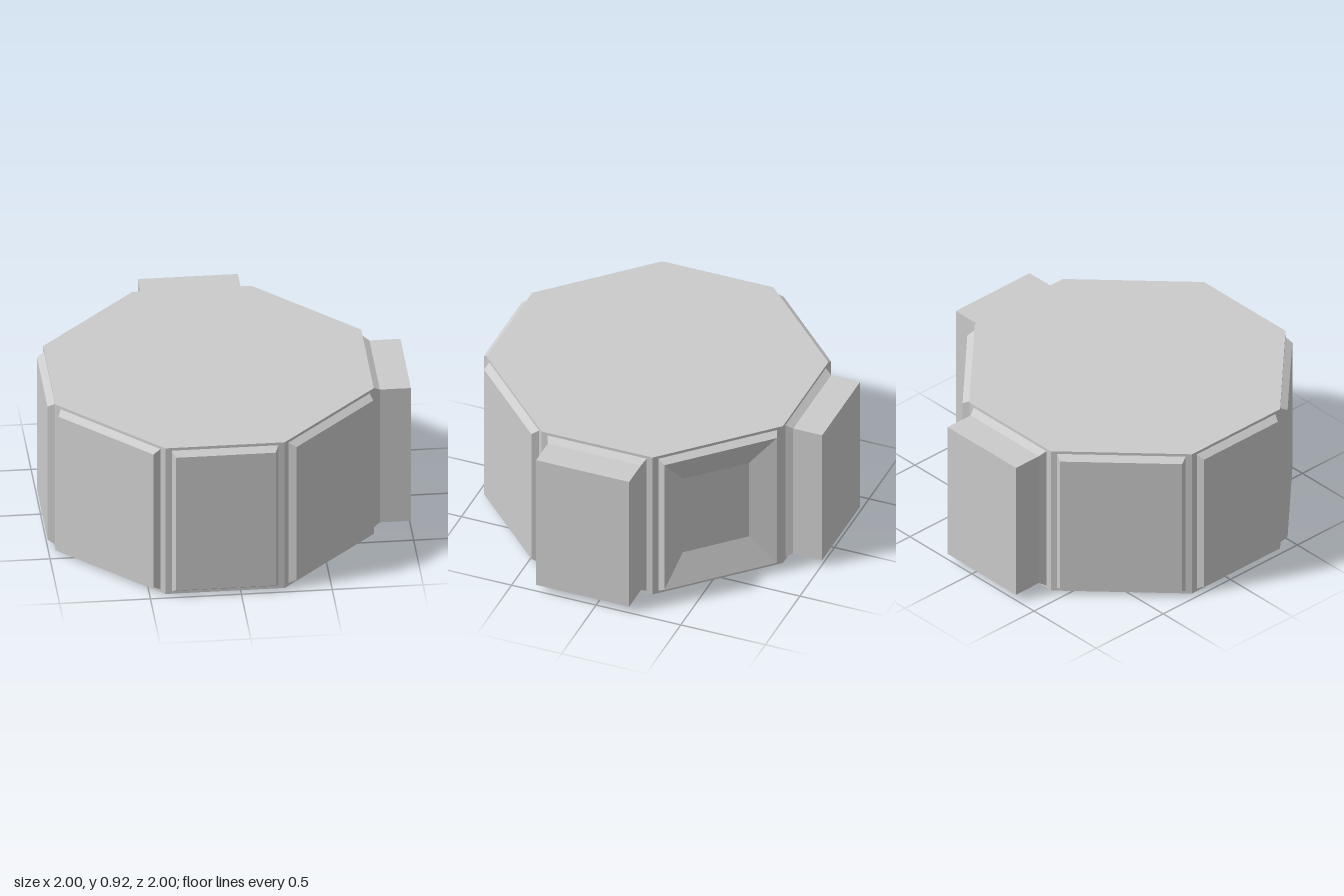
import * as THREE from 'three';

const HEIGHT = 0.915, MID = HEIGHT / 2;
const APOTHEM = 0.875;   // centre to the four straight walls
const HALF = 0.328;      // half width of a straight wall
const DIAG = (APOTHEM + HALF) / Math.SQRT2;       // centre to the diagonal walls
const DIAG_HALF = (APOTHEM - HALF) / Math.SQRT2;  // half width of a diagonal wall

const material = new THREE.MeshStandardMaterial({ color: 0xcccccc, flatShading: true });

// Joins rectangles [halfWidth, halfHeight, z] from outer to inner; optionally closes the last one.
function ringGeometry(rings, capped) {
  const pos = [];
  const quad = (a, b, c, d) => pos.push(...a, ...b, ...c, ...a, ...c, ...d);
  const loops = rings.map(([w, h, z]) => [[-w, -h, z], [w, -h, z], [w, h, z], [-w, h, z]]);
  for (let i = 0; i + 1 < loops.length; i++) {
    for (let k = 0; k < 4; k++) {
      const n = (k + 1) % 4;
      quad(loops[i][k], loops[i][n], loops[i + 1][n], loops[i + 1][k]);
    }
  }
  if (capped) quad(...loops[loops.length - 1]);
  const g = new THREE.BufferGeometry();
  g.setAttribute('position', new THREE.Float32BufferAttribute(pos, 3));
  g.computeVertexNormals();
  return g;
}

function mesh(name, geometry) {
  const m = new THREE.Mesh(geometry, material);
  m.name = name;
  return m;
}

// One wall with its bevelled panel, which may carry a block or a sunken funnel.
function createSide(index, name, kind) {
  const diagonal = index % 2 === 1;
  const half = diagonal ? DIAG_HALF : HALF;
  const base = [half - 0.035, 0.441, 0];
  const face = [half - 0.053, 0.417, 0.039];
  const rings = [base, face];
  if (kind === 'block') rings.push([face[0], face[1], 0.21]);
  if (kind === 'recess') rings.push([0.196, 0.245, -0.027]);

  const side = new THREE.Group();
  side.name = name;
  side.add(mesh('wall', ringGeometry([[half, MID, 0], base], false)));
  side.add(mesh(kind + 'Panel', ringGeometry(rings, true)));
  const angle = index * Math.PI / 4;
  const distance = diagonal ? DIAG : APOTHEM;
  side.rotation.y = angle;
  side.position.set(Math.sin(angle) * distance, MID, Math.cos(angle) * distance);
  return side;
}

export function createModel() {
  const model = new THREE.Group();
  model.name = 'octagonalModule';
  const body = new THREE.Group();
  body.name = 'body';
  body.position.set(-0.085, 0, 0.08);
  model.add(body);

  // Flat octagonal roof and floor
  const outline = new THREE.Shape([
    [HALF, -APOTHEM], [APOTHEM, -HALF], [APOTHEM, HALF], [HALF, APOTHEM],
    [-HALF, APOTHEM], [-APOTHEM, HALF], [-APOTHEM, -HALF], [-HALF, -APOTHEM],
  ].map(([x, y]) => new THREE.Vector2(x, y)));
  const roof = mesh('roof', new THREE.ShapeGeometry(outline).rotateX(-Math.PI / 2));
  roof.position.y = HEIGHT;
  const floor = mesh('floor', new THREE.ShapeGeometry(outline).rotateX(Math.PI / 2));
  body.add(roof, floor);

  // Eight sides, turning from the front towards +x
  [
    ['frontSide', 'flat'], ['frontLeftSide', 'flat'],
    ['leftSide', 'block'], ['backLeftSide', 'recess'],
    ['backSide', 'block'], ['backRightSide', 'flat'],
    ['rightSide', 'flat'], ['frontRightSide', 'flat'],
  ].forEach(([name, kind], i) => body.add(createSide(i, name, kind)));

  return model;
}
